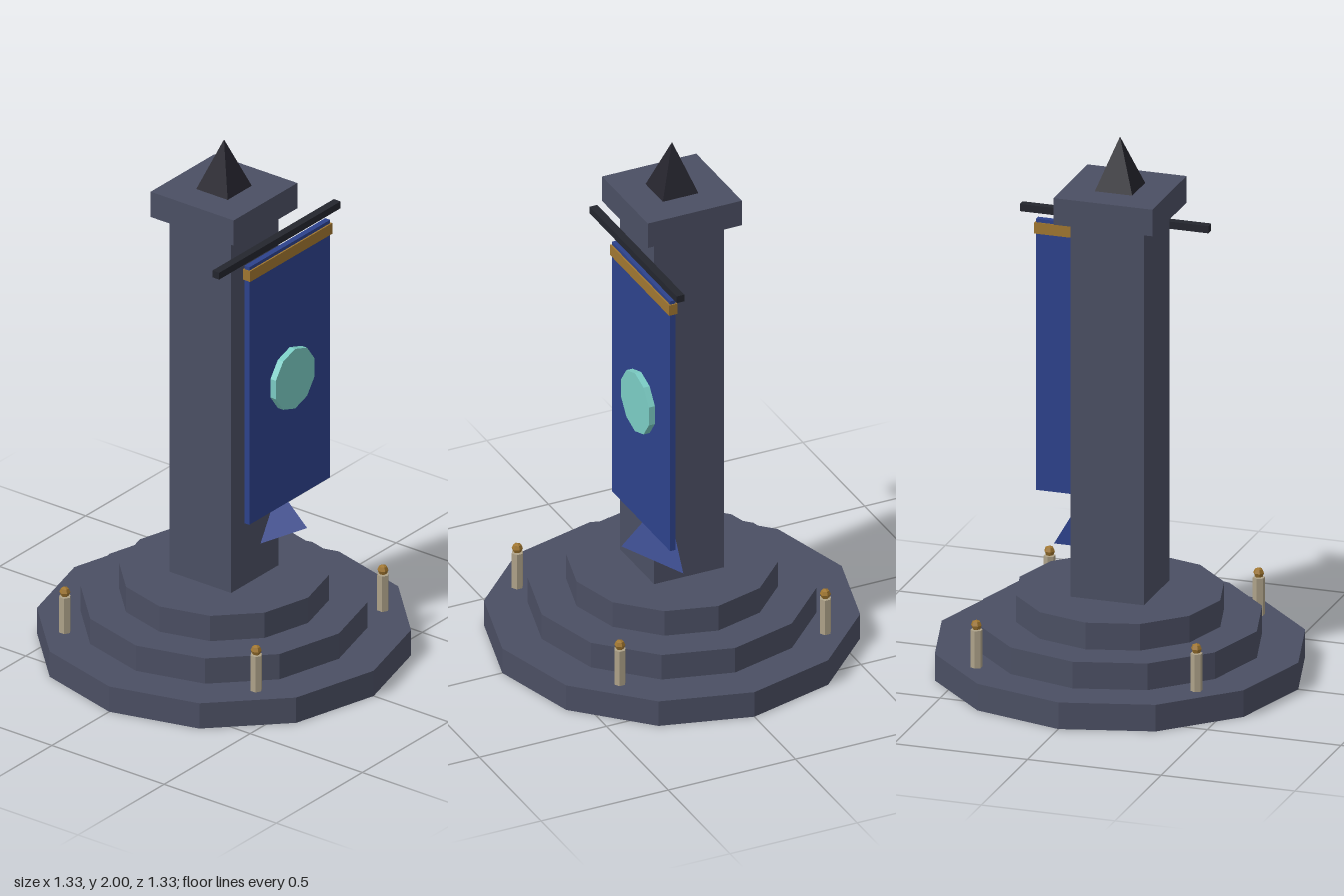
import * as THREE from 'three';

const mat = (name, color) => {
  const m = new THREE.MeshStandardMaterial({ color, flatShading: true });
  m.name = name;
  return m;
};

export function createModel() {
  const stone = mat('slate stone', 0x4b4f63);
  const iron = mat('dark iron', 0x24262e);
  const spireDark = mat('dark spire', 0x25242d);
  const cloth = mat('blue cloth', 0x2d428c);
  const gold = mat('gold', 0xa07630);
  const teal = mat('pale teal', 0x7bccc4);
  const wax = mat('candle wax', 0xaea289);

  const model = new THREE.Group();
  model.name = 'bannerMonument';

  const add = (name, geometry, material, x, y, z, parent = model) => {
    const mesh = new THREE.Mesh(geometry, material);
    mesh.name = name;
    mesh.position.set(x, y, z);
    parent.add(mesh);
    return mesh;
  };

  // Stepped twelve-sided plinth
  [0.667, 0.512, 0.375].forEach((r, i) =>
    add(`plinthStep${i + 1}`, new THREE.CylinderGeometry(r, r, 0.1, 12), stone, 0, 0.05 + i * 0.1, 0));

  // Square pillar, capital and pyramid spire
  add('pillar', new THREE.BoxGeometry(0.274, 1.41, 0.274), stone, 0, 1.005, 0);
  add('capital', new THREE.BoxGeometry(0.37, 0.1, 0.37), stone, 0, 1.76, 0);
  const spire = new THREE.ConeGeometry(0.07 * Math.SQRT2, 0.19, 4).rotateY(Math.PI / 4);
  add('spire', spire, spireDark, 0, 1.905, 0);

  // Hanging banner with its rail, trim and emblem
  add('bannerRail', new THREE.BoxGeometry(0.705, 0.027, 0.03), iron, 0.077, 1.627, 0.175);
  add('banner', new THREE.BoxGeometry(0.47, 1.02, 0.022), cloth, 0.137, 1.08, 0.177);
  add('bannerTrim', new THREE.BoxGeometry(0.478, 0.042, 0.032), gold, 0.138, 1.556, 0.178);
  const disc = new THREE.CylinderGeometry(0.118, 0.118, 0.024, 10).rotateX(Math.PI / 2);
  add('emblem', disc, teal, 0.137, 1.062, 0.2);

  // Three-sided banner tail pointing forward, one corner up
  const tail = new THREE.ConeGeometry(0.163, 0.175, 3).rotateY(Math.PI).rotateX(Math.PI / 2);
  add('bannerTail', tail, cloth, 0.137, 0.487, 0.178);

  // Candles on the lowest step
  const stick = new THREE.CylinderGeometry(0.022, 0.022, 0.14, 6);
  const flame = new THREE.SphereGeometry(0.02, 6, 4);
  [[-0.42, -0.387], [0.395, -0.411], [-0.371, 0.428], [0.402, 0.4]].forEach(([x, z], i) => {
    const candle = new THREE.Group();
    candle.name = `candle${i + 1}`;
    candle.position.set(x, 0.1, z);
    add('candleStick', stick, wax, 0, 0.07, 0, candle);
    add('candleFlame', flame, gold, 0, 0.157, 0, candle);
    model.add(candle);
  });

  return model;
}
